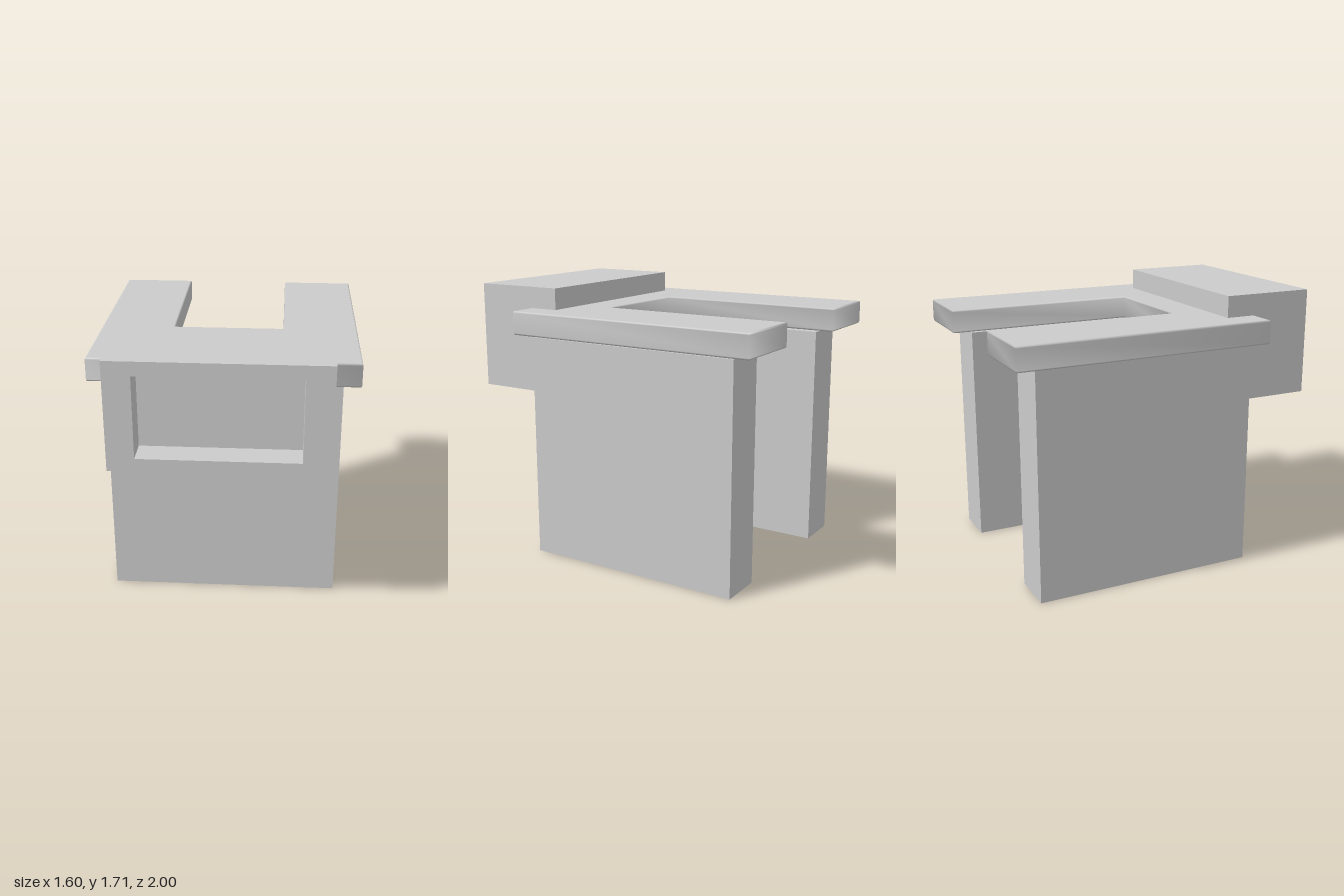
import * as THREE from 'three';
import { mergeVertices } from 'three/addons/utils/BufferGeometryUtils.js';

const material = new THREE.MeshStandardMaterial({ color: 0xcccccc });

// U-shaped plan, open towards the back; shape y is -z
function uPlan(outer, inner, front, innerFront, back) {
  return new THREE.Shape([
    [-outer, -front], [outer, -front], [outer, -back], [inner, -back],
    [inner, -innerFront], [-inner, -innerFront], [-inner, -back], [-outer, -back],
  ].map(([x, y]) => new THREE.Vector2(x, y)));
}

function rectangle(Type, x, y0, y1) {
  return new Type([[-x, y0], [x, y0], [x, y1], [-x, y1]].map(([a, b]) => new THREE.Vector2(a, b)));
}

function addMesh(group, geometry, name) {
  const mesh = new THREE.Mesh(geometry, material);
  mesh.name = name;
  group.add(mesh);
  return mesh;
}

export function createModel() {
  const group = new THREE.Group();
  group.name = 'kiosk';

  // Three-sided desk base
  const base = new THREE.ExtrudeGeometry(uPlan(0.7, 0.42, 0.55, 0.27, -0.855), {
    depth: 1.408, bevelEnabled: false,
  });
  base.rotateX(-Math.PI / 2);
  addMesh(group, base, 'base');

  // Worktop with softened edges and smooth shading, just clear of the base
  const bevel = 0.012, bottom = 1.43, top = 1.578;
  let worktop = new THREE.ExtrudeGeometry(uPlan(0.8, 0.34, 0.615, 0.205, -1), {
    depth: top - bottom - 2 * bevel,
    bevelThickness: bevel, bevelSize: bevel, bevelOffset: -bevel, bevelSegments: 3,
  });
  worktop.rotateX(-Math.PI / 2);
  worktop.translate(0, bottom + bevel, 0);
  worktop.deleteAttribute('uv');
  worktop.deleteAttribute('normal');
  worktop = mergeVertices(worktop, 1e-4);
  worktop.computeVertexNormals();
  addMesh(group, worktop, 'worktop');

  // Display housing with a rectangular opening
  const housingShape = rectangle(THREE.Shape, 0.63, 1.05, 1.71);
  housingShape.holes.push(rectangle(THREE.Path, 0.47, 1.13, 1.625));
  const housing = new THREE.ExtrudeGeometry(housingShape, { depth: 0.58, bevelEnabled: false });
  addMesh(group, housing, 'displayHousing').position.z = 0.42;

  // Recessed screen filling the opening behind the rim
  const screen = new THREE.BoxGeometry(0.94, 0.495, 0.41);
  addMesh(group, screen, 'screen').position.set(0, 1.3775, 0.625);

  return group;
}
